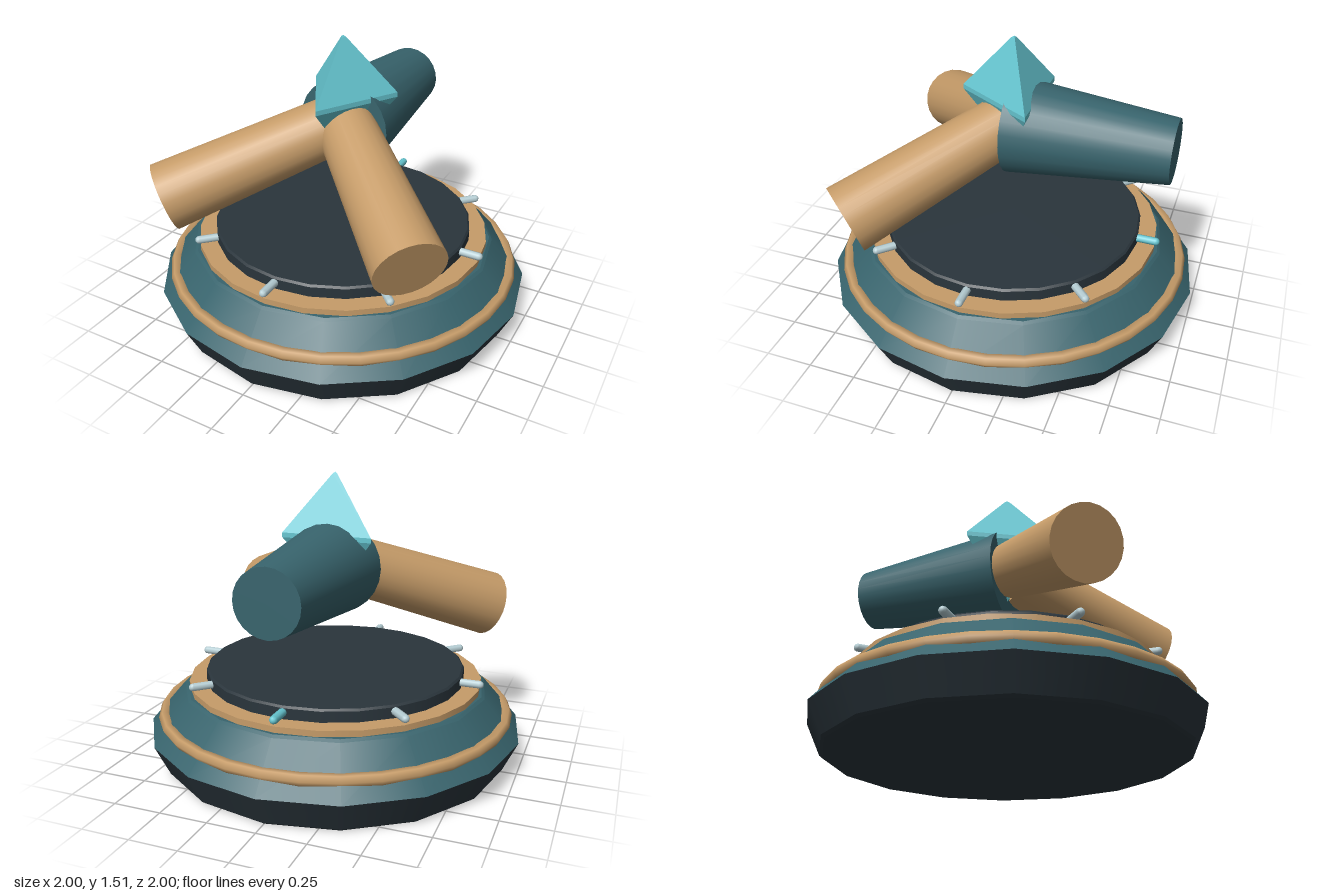
import * as THREE from 'three';

const material = (name, color, flatShading = false) => {
  const m = new THREE.MeshStandardMaterial({ color, flatShading });
  m.name = name;
  return m;
};

export function createModel() {
  const model = new THREE.Group();
  const teal = material('teal', 0x38646d);
  const tan = material('tan', 0xc69c69);
  const dark = material('charcoal', 0x2a353c);
  const cyan = material('cyan', 0x66c6d1);
  const pale = material('pale steel', 0xb6ced4);

  const add = (name, geometry, mat, parent = model) => {
    const mesh = new THREE.Mesh(geometry, mat);
    mesh.name = name;
    parent.add(mesh);
    return mesh;
  };

  // Round slab between two heights
  const slab = (name, y0, y1, rBottom, rTop, sides, mat) => {
    add(name, new THREE.CylinderGeometry(rTop, rBottom, y1 - y0, sides), mat)
      .position.y = (y0 + y1) / 2;
  };

  // Tapered rod from point a to point b
  const rod = (name, a, b, rA, rB, mat) => {
    const dir = b.clone().sub(a);
    const mesh = add(name, new THREE.CylinderGeometry(rB, rA, dir.length(), 24), mat);
    mesh.position.copy(a).add(b).multiplyScalar(0.5);
    mesh.quaternion.setFromUnitVectors(new THREE.Vector3(0, 1, 0), dir.normalize());
  };

  // Stepped base
  slab('foot', 0.012, 0.17, 0.925, 1, 16, dark);
  slab('footBevel', 0, 0.012, 0.91, 0.925, 16, dark);
  slab('baseSlope', 0.17, 0.385, 1, 0.815, 16, teal);
  slab('baseSlopeBevel', 0.385, 0.397, 0.815, 0.8, 16, teal);
  slab('trimDisc', 0.395, 0.428, 0.782, 0.782, 24, tan);
  slab('dial', 0.428, 0.483, 0.69, 0.69, 24, dark);
  slab('dialBevel', 0.483, 0.493, 0.69, 0.68, 24, dark);

  // Ring around the slope
  const ring = add('trimRing', new THREE.TorusGeometry(0.918, 0.032, 6, 32), tan);
  ring.rotation.x = Math.PI / 2;
  ring.position.y = 0.252;

  // Eight marker pins, the rear one highlighted
  const pins = new THREE.Group();
  pins.name = 'markerPins';
  model.add(pins);
  for (let i = 0; i < 8; i++) {
    const a = (i * Math.PI) / 4;
    const pin = add(i === 4 ? 'rearPin' : 'pin',
      new THREE.CapsuleGeometry(0.021, 0.1, 4, 8), i === 4 ? cyan : pale, pins);
    pin.rotation.set(Math.PI / 2, a, 0, 'YXZ');
    pin.position.set(Math.sin(a) * 0.737, 0.463, Math.cos(a) * 0.737);
  }

  // Two drooping front arms and the level rear arm
  for (const s of [-1, 1]) {
    rod(s > 0 ? 'leftArm' : 'rightArm', new THREE.Vector3(s * 0.05, 1.03, 0.05),
      new THREE.Vector3(s * 0.685, 0.728, 0.635), 0.153, 0.18, tan);
  }
  rod('rearArm', new THREE.Vector3(0, 1.022, 0), new THREE.Vector3(0, 1.022, -0.835),
    0.25, 0.166, teal);

  // Three-sided double-pointed crystal over the joint
  const profile = [[0, 0.87], [0.277, 1.18], [0.277, 1.205], [0.015, 1.5], [0, 1.51]]
    .map(([r, y]) => new THREE.Vector2(r, y));
  const facets = new THREE.LatheGeometry(profile, 3).toNonIndexed();
  facets.computeVertexNormals();
  add('crystal', facets, cyan);

  return model;
}
